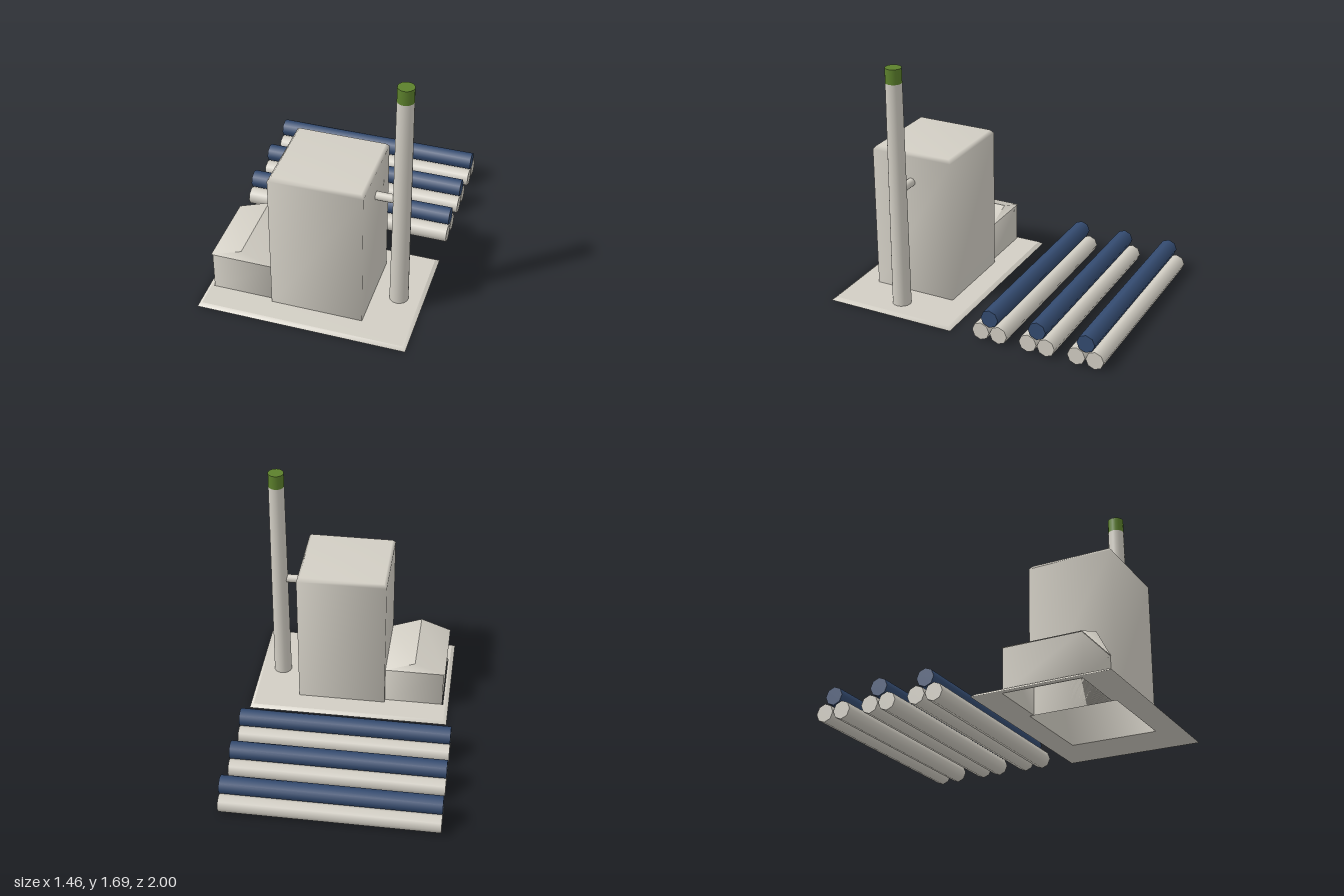
import * as THREE from 'three';

const paint = (name, color, extra) => new THREE.MeshStandardMaterial({ name, color, ...extra });

// Smooth-shaded skin through stacked rectangles [x0, x1, z0, z1, y], open at the bottom
function loft(rings, capTop = true) {
  const pos = [], idx = [];
  for (const [x0, x1, z0, z1, y] of rings) pos.push(x0, y, z1, x1, y, z1, x1, y, z0, x0, y, z0);
  for (let r = 0; r < rings.length - 1; r++) {
    for (let i = 0; i < 4; i++) {
      const a = r * 4 + i, b = r * 4 + (i + 1) % 4;
      idx.push(a, b, b + 4, a, b + 4, a + 4);
    }
  }
  const t = (rings.length - 1) * 4;
  if (capTop) idx.push(t, t + 1, t + 2, t, t + 2, t + 3);
  const geo = new THREE.BufferGeometry();
  geo.setAttribute('position', new THREE.Float32BufferAttribute(pos, 3));
  geo.setIndex(idx);
  geo.computeVertexNormals();
  return geo;
}

// Horizontal plate with the joined footprint of both buildings cut out
function plate(x0, x1, z0, z1, y) {
  const v = (x, z) => new THREE.Vector2(x, -z);
  const shape = new THREE.Shape([v(x0, z1), v(x1, z1), v(x1, z0), v(x0, z0)]);
  shape.holes.push(new THREE.Path([
    v(-0.65, 0.8), v(-0.65, 0.275), v(-0.23, 0.275), v(-0.23, 0.245),
    v(0.39, 0.245), v(0.39, 0.83), v(-0.23, 0.83), v(-0.23, 0.8),
  ]));
  return new THREE.ShapeGeometry(shape).rotateX(-Math.PI / 2).translate(0, y, 0);
}

export function createModel() {
  const model = new THREE.Group();
  model.name = 'boilerPlant';
  const grey = paint('warmGrey', 0xd2cec4, { side: THREE.DoubleSide });
  const navy = paint('navy', 0x344b70);
  const green = paint('green', 0x5c802c);

  const add = (name, geo, mat, x = 0, y = 0, z = 0, parent = model) => {
    const mesh = new THREE.Mesh(geo, mat);
    mesh.name = name;
    mesh.position.set(x, y, z);
    parent.add(mesh);
    return mesh;
  };

  // Ground slab with sloped rim
  add('slabRim', loft([[-0.69, 0.725, 0.08, 1, 0], [-0.665, 0.7, 0.105, 0.975, 0.02]], false), grey);
  add('slabTop', plate(-0.665, 0.7, 0.105, 0.975, 0.02), grey);
  add('slabUnderside', plate(-0.69, 0.725, 0.08, 1, 0), grey);

  // Main tower with chamfered roof edge
  add('tower', loft([
    [-0.23, 0.39, 0.245, 0.83, 0],
    [-0.23, 0.39, 0.245, 0.83, 1.02],
    [-0.21, 0.37, 0.265, 0.81, 1.045],
  ]), grey);

  // Annex with gable roof
  add('annexWalls', loft([[-0.645, -0.23, 0.275, 0.8, 0], [-0.645, -0.23, 0.275, 0.8, 0.295]], false), grey);
  add('annexRoof', loft([[-0.655, -0.23, 0.272, 0.803, 0.295], [-0.44, -0.44, 0.272, 0.803, 0.375]]), grey);

  // Tapered chimney, coloured tip and connecting duct
  const cx = 0.56, cz = 0.54;
  add('chimney', new THREE.CylinderGeometry(0.055, 0.064, 1.58, 16), grey, cx, 0.8, cz);
  add('chimneyTip', new THREE.CylinderGeometry(0.054, 0.055, 0.1, 16), green, cx, 1.64, cz);
  add('duct', new THREE.CylinderGeometry(0.029, 0.029, 0.15, 12).rotateZ(Math.PI / 2), grey, 0.455, 0.838, cz);

  // Three stacks of pipes: two below, one on top
  const pipe = new THREE.CylinderGeometry(0.061, 0.061, 1.46, 8).rotateZ(Math.PI / 2);
  for (const z of [-0.21, -0.545, -0.88]) {
    const stack = new THREE.Group();
    stack.name = 'pipeStack';
    stack.position.set(-0.005, 0, z);
    model.add(stack);
    for (const s of [-1, 1]) add('lowerPipe', pipe, grey, 0, 0.061, s * 0.063, stack);
    add('upperPipe', pipe, navy, 0, 0.165, 0, stack);
  }
  return model;
}
